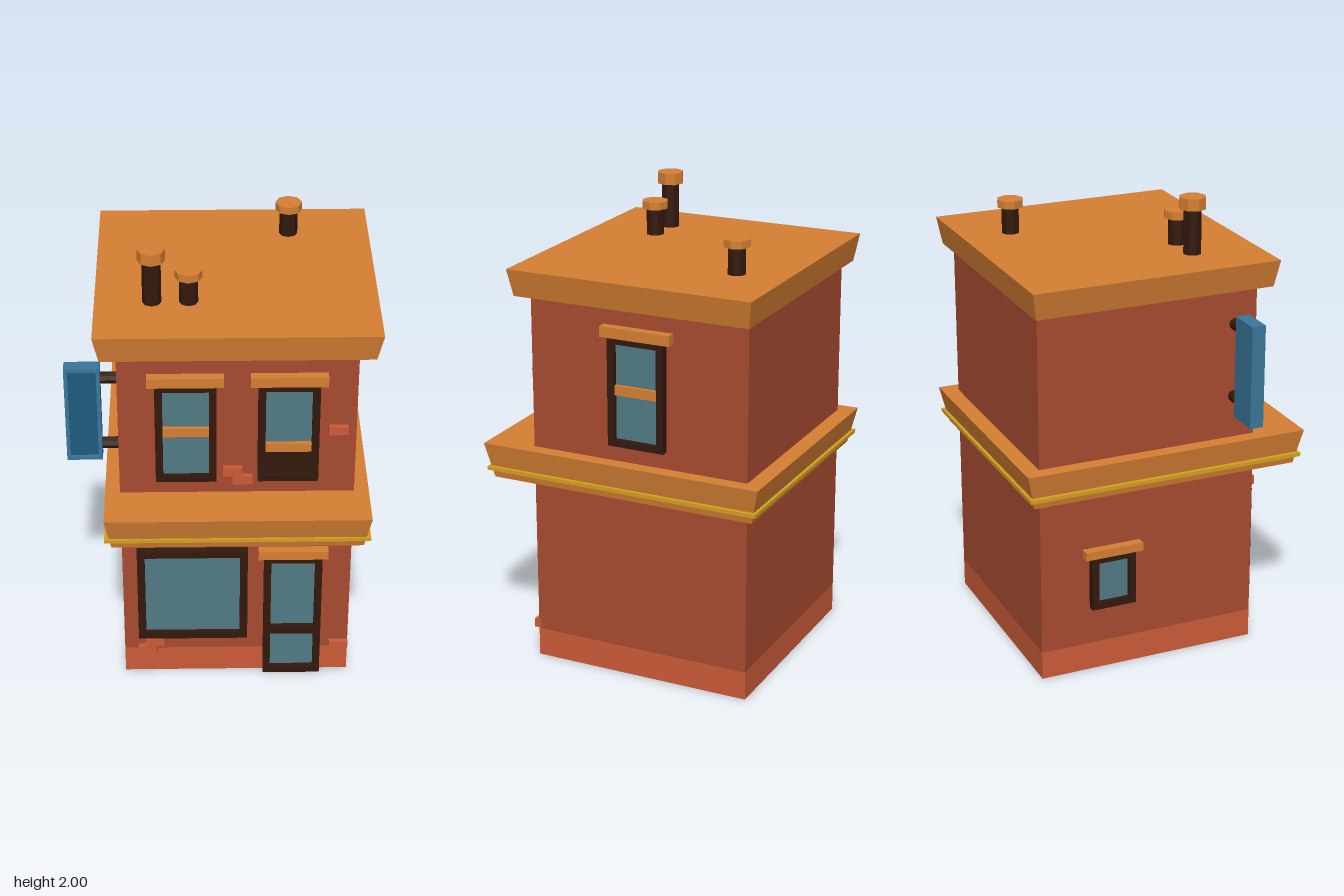
import * as THREE from 'three';

const mat = (color, side = THREE.FrontSide) =>
  new THREE.MeshStandardMaterial({ color, side, flatShading: true });
const brick = mat(0xa84b30, THREE.DoubleSide);
const paleBrick = mat(0xcc5b38, THREE.DoubleSide);
const trim = mat(0xd68033);
const dark = mat(0x33190d);
const glass = mat(0x517a84);
const gold = mat(0xd4a020);
const blue = mat(0x3a779b);
const deepBlue = mat(0x1d5c7f);

const FRONT = 0.42, BACK = -0.56, LEFT = 0.55, RIGHT = -0.43;

function add(parent, name, geometry, material, x = 0, y = 0, z = 0) {
  const mesh = new THREE.Mesh(geometry, material);
  mesh.name = name;
  mesh.position.set(x, y, z);
  parent.add(mesh);
  return mesh;
}

// Box given by its limits
function block(parent, name, material, x0, x1, y0, y1, z0, z1) {
  return add(parent, name, new THREE.BoxGeometry(x1 - x0, y1 - y0, z1 - z0), material,
    (x0 + x1) / 2, (y0 + y1) / 2, (z0 + z1) / 2);
}

// Four walls without floor or ceiling
function walls(parent, name, material, y0, y1) {
  const g = new THREE.CylinderGeometry(Math.SQRT1_2, Math.SQRT1_2, 1, 4, 1, true);
  g.rotateY(Math.PI / 4);
  g.scale(LEFT - RIGHT, y1 - y0, FRONT - BACK);
  add(parent, name, g, material, (LEFT + RIGHT) / 2, (y0 + y1) / 2, (FRONT + BACK) / 2);
}

// Cornice that widens upward: [width, depth] at the bottom and top
function cornice(parent, name, bottom, top, y0, y1, x, z) {
  const g = new THREE.BoxGeometry(1, y1 - y0, 1);
  const p = g.attributes.position;
  for (let i = 0; i < p.count; i++) {
    const size = p.getY(i) > 0 ? top : bottom;
    p.setX(i, p.getX(i) * size[0]);
    p.setZ(i, p.getZ(i) * size[1]);
  }
  g.computeVertexNormals();
  add(parent, name, g, trim, x, (y0 + y1) / 2, z);
}

function rect(shape, x0, x1, y0, y1) {
  shape.moveTo(x0, y0);
  shape.lineTo(x1, y0);
  shape.lineTo(x1, y1);
  shape.lineTo(x0, y1);
  shape.closePath();
  return shape;
}

// Framed opening facing +z, with the wall at z = 0; panes are [y0, y1, material]
function opening(parent, name, { half, y0, y1, rim = 0.031, panes, lintel, bar }) {
  const group = new THREE.Group();
  group.name = name;
  parent.add(group);
  const inner = half - rim;
  const outline = rect(new THREE.Shape(), -half, half, y0, y1);
  for (const [a, b, material] of panes) {
    outline.holes.push(rect(new THREE.Path(), -inner, inner, a, b));
    block(group, 'pane', material, -inner, inner, a, b, 0, 0.014);
  }
  add(group, 'frame', new THREE.ExtrudeGeometry(outline, { depth: 0.034, bevelEnabled: false }), dark);
  if (lintel) block(group, 'lintel', trim, -lintel[0], lintel[0], lintel[1], lintel[2], 0, 0.04);
  if (bar) block(group, 'sashBar', trim, -inner, inner, bar - 0.021, bar + 0.021, 0, 0.03);
  return group;
}

function upperWindow(parent, name, open) {
  return opening(parent, name, {
    half: 0.126, y0: 1.045, y1: 1.515,
    panes: open ? [[1.075, 1.485, glass]] : [[1.075, 1.485, glass]],
    lintel: [0.157, 1.51, 1.555], bar: open ? 1.21 : 1.288,
  });
}

// Eight-sided roof pipe with a cap
function pipe(parent, x, z, top, capHeight) {
  const group = new THREE.Group();
  group.name = 'chimneyPipe';
  group.position.set(x, 0, z);
  parent.add(group);
  const h = top - capHeight - 1.75;
  add(group, 'pipe', new THREE.CylinderGeometry(0.039, 0.039, h, 8), dark, 0, 1.75 + h / 2);
  add(group, 'cap', new THREE.CylinderGeometry(0.057, 0.057, capHeight, 8), trim, 0, top - capHeight / 2);
}

export function createModel() {
  const model = new THREE.Group();
  model.name = 'townBuilding';

  // Walls, cornices and gold band
  walls(model, 'baseCourse', paleBrick, 0, 0.125);
  walls(model, 'brickWalls', brick, 0.125, 1.65);
  cornice(model, 'shopCornice', [1.05, 1.193], [1.105, 1.263], 0.815, 0.97, 0.06, 0);
  block(model, 'goldBand', gold, -0.494, 0.612, 0.852, 0.868, -0.622, 0.617);
  cornice(model, 'roofCornice', [1.111, 1.05], [1.16, 1.087], 1.64, 1.757, 0.06, -0.063);

  // Upper windows
  upperWindow(model, 'closedFrontWindow', false).position.set(-0.152, 0, FRONT);
  const openWindow = upperWindow(model, 'openFrontWindow', true);
  openWindow.position.set(0.27, 0, FRONT);
  block(openWindow, 'openGap', dark, -0.095, 0.095, 1.075, 1.19, 0, 0.017);
  const sideWindow = upperWindow(model, 'leftSideWindow', false);
  sideWindow.position.set(LEFT, 0, -0.073);
  sideWindow.rotation.y = Math.PI / 2;

  // Ground floor openings
  opening(model, 'shopWindow', {
    half: 0.237, y0: 0.204, y1: 0.678, rim: 0.033, panes: [[0.238, 0.645, glass]],
  }).position.set(-0.13, 0, FRONT);
  opening(model, 'door', {
    half: 0.125, y0: 0.004, y1: 0.64, panes: [[0.04, 0.225, glass], [0.267, 0.612, glass]],
    lintel: [0.149, 0.636, 0.678],
  }).position.set(0.302, 0, FRONT);
  const smallWindow = opening(model, 'smallSideWindow', {
    half: 0.1, y0: 0.295, y1: 0.54, panes: [[0.326, 0.51, glass]], lintel: [0.13, 0.535, 0.572],
  });
  smallWindow.position.set(RIGHT, 0, -0.24);
  smallWindow.rotation.y = -Math.PI / 2;

  // Raised bricks on the front: left edge and bottom edge
  const bricks = [[0, 1.063], [0.041, 1.022], [0.434, 1.264], [-0.36, 0.757], [-0.407, 0.718],
    [-0.339, 0.15], [-0.371, 0.109], [0.468, 0.127]];
  for (const [x, y] of bricks) {
    block(model, 'raisedBrick', paleBrick, x, x + 0.082, y, y + 0.039, FRONT - 0.01, FRONT + 0.022);
  }

  // Hanging sign with a sunken front panel, held by two rods
  const sign = new THREE.Group();
  sign.name = 'hangingSign';
  model.add(sign);
  block(sign, 'signBody', blue, -0.648, -0.5, 1.09, 1.535, 0.29, 0.335);
  const rim = rect(new THREE.Shape(), -0.648, -0.5, 1.09, 1.535);
  rim.holes.push(rect(new THREE.Path(), -0.632, -0.516, 1.106, 1.519));
  add(sign, 'signRim', new THREE.ExtrudeGeometry(rim, { depth: 0.015, bevelEnabled: false }), blue, 0, 0, 0.335);
  block(sign, 'signPanel', deepBlue, -0.632, -0.516, 1.106, 1.519, 0.33, 0.337);
  for (const y of [1.157, 1.477]) {
    add(sign, 'signRod', new THREE.CylinderGeometry(0.025, 0.025, 0.09, 8), dark, -0.465, y, 0.32)
      .rotation.z = Math.PI / 2;
  }

  // Roof pipes
  pipe(model, -0.285, 0.19, 2, 0.05);
  pipe(model, -0.135, 0.19, 1.905, 0.033);
  pipe(model, 0.295, -0.39, 1.905, 0.033);

  return model;
}
